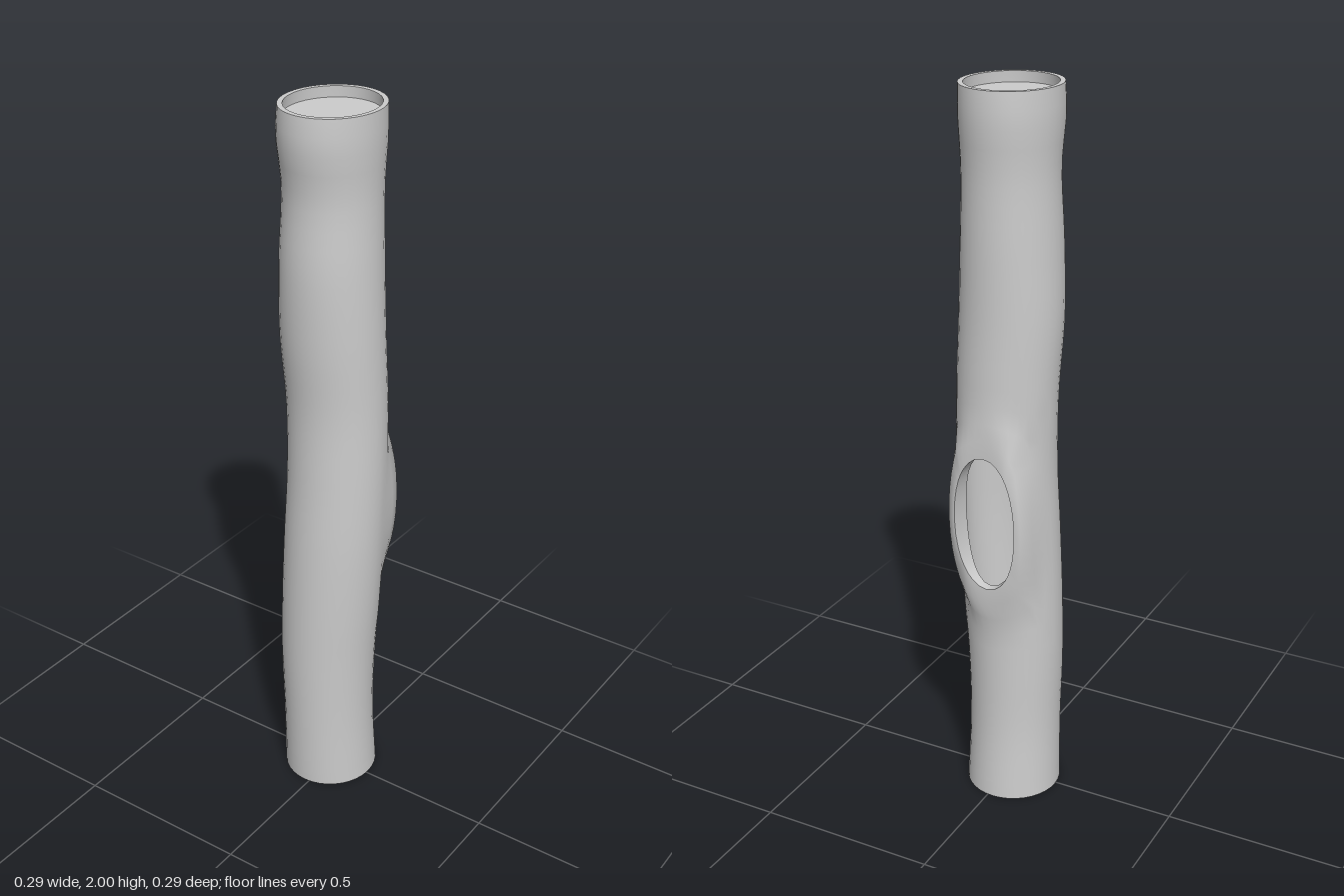
import * as THREE from 'three';

const COLS = 36, ROWS = 42;          // grid around and along the log
const HOLE = 4, HOLE_ROW = 18;       // half size and centre row of the opening, in grid cells
const INNER = 0.9, RIM_Z = -0.148;

// Outline by height: left x, right x, back z, front z
const heights = [0, 0.2, 0.4, 0.6, 0.8, 1, 1.2, 1.4, 1.6, 1.8, 1.93, 2];
const extents = [
  -0.147, 0.117, -0.142, 0.128, -0.143, 0.112, -0.129, 0.133,
  -0.147, 0.117, -0.129, 0.138, -0.145, 0.130, -0.135, 0.138,
  -0.138, 0.140, -0.137, 0.133, -0.131, 0.143, -0.140, 0.123,
  -0.134, 0.140, -0.140, 0.118, -0.143, 0.135, -0.135, 0.132,
  -0.137, 0.128, -0.135, 0.138, -0.129, 0.122, -0.135, 0.130,
  -0.136, 0.128, -0.145, 0.147, -0.133, 0.127, -0.142, 0.142,
];
const outline = new THREE.CubicInterpolant(heights, extents, 4);

// Point on the bark (scale 1) or on the hollow inside; column 0 faces the back
function logPoint(col, row, scale) {
  let u = col > COLS / 2 ? col - COLS : col;
  let v = row - HOLE_ROW;
  // bend the square opening of the grid into an oval
  const s = Math.max(Math.abs(u), Math.abs(v)) / HOLE;
  if (s >= 1 && s < 2) {
    const k = THREE.MathUtils.lerp(s * HOLE / Math.hypot(u, v), 1, s - 1);
    u *= k;
    v *= k;
  }
  const y = (v + HOLE_ROW) * 2 / ROWS, a = u * 2 * Math.PI / COLS;
  const [x0, x1, z0, z1] = outline.evaluate(y);
  const x = (x0 + x1) / 2 + (x1 - x0) / 2 * scale * Math.sin(a);
  let z = (z0 + z1) / 2 - (z1 - z0) / 2 * scale * Math.cos(a);
  // raised flat lip around the opening
  if (scale === 1) {
    const w = 1 - THREE.MathUtils.smoothstep(Math.hypot(u, v) / HOLE, 1.2, 1.75);
    z = THREE.MathUtils.lerp(z, RIM_Z, w);
  }
  return new THREE.Vector3(x, y, z);
}

const material = new THREE.MeshStandardMaterial({ color: 0xcccccc, side: THREE.DoubleSide });

function makeMesh(name, points, index) {
  const geometry = new THREE.BufferGeometry().setFromPoints(points);
  geometry.setIndex(index);
  geometry.computeVertexNormals();
  const mesh = new THREE.Mesh(geometry, material);
  mesh.name = name;
  return mesh;
}

// Tube wall with the opening left out
function wall(name, scale) {
  const points = [], index = [];
  for (let r = 0; r <= ROWS; r++)
    for (let c = 0; c < COLS; c++) points.push(logPoint(c, r, scale));
  for (let r = 0; r < ROWS; r++) {
    for (let c = 0; c < COLS; c++) {
      const open = (c < HOLE || c >= COLS - HOLE) && Math.abs(r + 0.5 - HOLE_ROW) < HOLE;
      if (open) continue;
      const d = (c + 1) % COLS;
      const [p, q, s, t] = [r * COLS + c, r * COLS + d, (r + 1) * COLS + d, (r + 1) * COLS + c];
      if (scale === 1) index.push(p, s, q, p, t, s);
      else index.push(p, q, s, p, s, t);
    }
  }
  return makeMesh(name, points, index);
}

// Closed band joining two loops of points
function band(name, a, b) {
  const n = a.length, index = [];
  for (let i = 0; i < n; i++) {
    const j = (i + 1) % n;
    index.push(i, j, n + j, i, n + j, n + i);
  }
  return makeMesh(name, [...a, ...b], index);
}

const ring = (row, scale) => Array.from({ length: COLS }, (_, c) => logPoint(c, row, scale));

// Grid points around the edge of the opening
function holeLoop(scale) {
  const loop = [];
  const add = (u, v) => loop.push(logPoint((u + COLS) % COLS, HOLE_ROW + v, scale));
  for (let i = -HOLE; i < HOLE; i++) add(i, -HOLE);
  for (let i = -HOLE; i < HOLE; i++) add(HOLE, i);
  for (let i = HOLE; i > -HOLE; i--) add(i, HOLE);
  for (let i = HOLE; i > -HOLE; i--) add(-HOLE, i);
  return loop;
}

export function createModel() {
  const log = new THREE.Group();
  log.name = 'hollowLog';
  log.add(wall('bark', 1), wall('hollow', INNER));

  // cut ends and the thickness of the opening
  log.add(band('topRim', ring(ROWS, INNER), ring(ROWS, 1)));
  log.add(band('bottomRim', ring(0, 1), ring(0, INNER)));
  log.add(band('knotHoleEdge', holeLoop(1), holeLoop(INNER)));

  // recessed plug just below the top rim
  const edge = ring(ROWS - 0.6, INNER);
  const centre = edge.reduce((sum, p) => sum.add(p), new THREE.Vector3()).divideScalar(COLS);
  const index = [];
  for (let i = 0; i < COLS; i++) index.push(COLS, i, (i + 1) % COLS);
  log.add(makeMesh('topPlug', [...edge, centre], index));
  return log;
}
